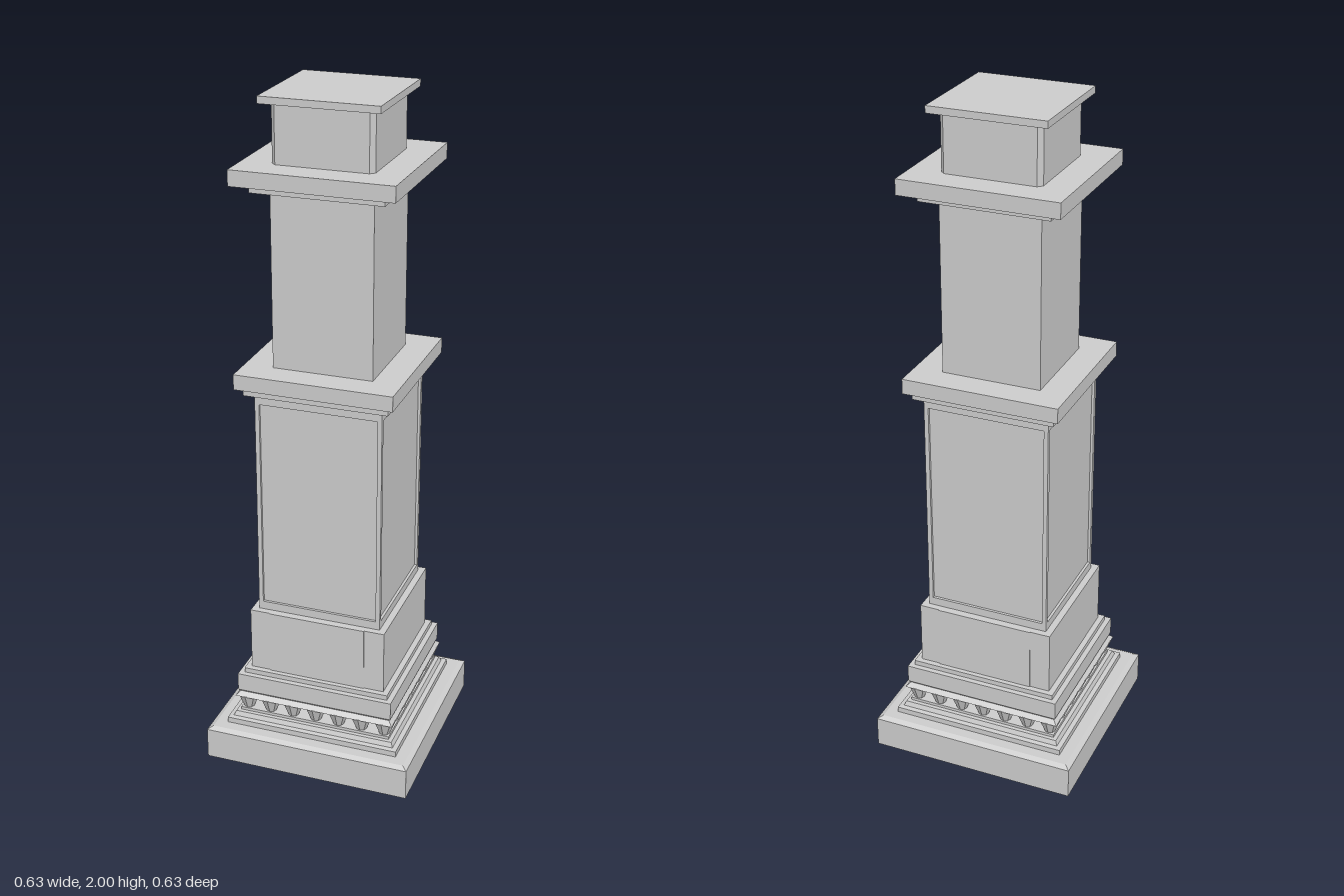
import * as THREE from 'three';

const material = new THREE.MeshStandardMaterial({
  color: 0xcccccc, flatShading: true, side: THREE.DoubleSide,
});

function add(parent, name, geometry) {
  const mesh = new THREE.Mesh(geometry, material);
  mesh.name = name;
  parent.add(mesh);
  return mesh;
}

// Square shell swept from a profile of [half width, height] pairs.
function squareShell(parent, name, profile) {
  const points = profile.map(([half, y]) => new THREE.Vector2(half * Math.SQRT2, y));
  const geometry = new THREE.LatheGeometry(points, 4).rotateY(Math.PI / 4).toNonIndexed();
  geometry.computeVertexNormals();
  return add(parent, name, geometry);
}

// Four copies of a part, one for each side.
function onFourSides(parent, build) {
  for (let i = 0; i < 4; i++) {
    const side = new THREE.Group();
    side.name = 'side' + (i + 1);
    side.rotation.y = i * Math.PI / 2;
    build(side);
    parent.add(side);
  }
}

function rectangle(ShapeType, half, bottom, top) {
  return new ShapeType([[-half, bottom], [half, bottom], [half, top], [-half, top]]
    .map(([x, y]) => new THREE.Vector2(x, y)));
}

export function createModel() {
  const column = new THREE.Group();
  column.name = 'column';

  // Hollow plinth, open below, with a stepped top
  squareShell(column, 'plinth', [
    [0.315, 0], [0.315, 0.095], [0.3, 0.103], [0.267, 0.103], [0.267, 0.12],
    [0.253, 0.122], [0.247, 0.136], [0.235, 0.136], [0.235, 0.145], [0.15, 0.145],
  ]);

  // Row of tapered pegs around the gap above the plinth
  const pegs = new THREE.Group();
  pegs.name = 'pegs';
  column.add(pegs);
  const spacing = 0.072;
  onFourSides(pegs, (side) => {
    for (let i = -3; i < 3; i++) {
      const peg = add(side, 'peg', new THREE.CylinderGeometry(0.034, 0.014, 0.05, 8));
      peg.position.set(i * spacing, 0.166, 3 * spacing);
    }
  });

  // Moulding carried by the pegs
  squareShell(column, 'baseMoulding', [
    [0.15, 0.19], [0.248, 0.19], [0.235, 0.203], [0.241, 0.21], [0.241, 0.265],
    [0.225, 0.265], [0.225, 0.28], [0.208, 0.28],
  ]);

  // Pedestal block with a slightly raised panel on front and back
  squareShell(column, 'pedestalBlock', [[0.208, 0.28], [0.208, 0.475], [0.18, 0.475]]);
  for (const sign of [-1, 1]) {
    const panel = add(column, 'pedestalPanel', new THREE.BoxGeometry(0.294, 0.195, 0.004));
    panel.position.set(0, 0.3775, sign * 0.209);
  }

  // Lower shaft with a frame around a recessed panel on each side
  squareShell(column, 'lowerShaft', [[0.18, 0.475], [0.18, 1.165]]);
  const frames = new THREE.Group();
  frames.name = 'panelFrames';
  column.add(frames);
  onFourSides(frames, (side) => {
    const shape = rectangle(THREE.Shape, 0.188, 0.475, 1.165);
    shape.holes.push(rectangle(THREE.Path, 0.175, 0.5, 1.135));
    const frame = add(side, 'panelFrame',
      new THREE.ExtrudeGeometry(shape, { depth: 0.009, bevelEnabled: false }));
    frame.position.z = 0.179;
  });

  // Lower cornice, upper shaft and upper cornice
  squareShell(column, 'lowerCornice', [
    [0.18, 1.16], [0.197, 1.16], [0.197, 1.167], [0.212, 1.167], [0.212, 1.19],
    [0.232, 1.19], [0.232, 1.235], [0.147, 1.235],
  ]);
  squareShell(column, 'upperShaft', [[0.147, 1.235], [0.147, 1.745]]);
  squareShell(column, 'upperCornice', [
    [0.147, 1.745], [0.19, 1.745], [0.19, 1.77],
    [0.232, 1.77], [0.232, 1.815], [0.135, 1.815],
  ]);

  // Neck with cut corners
  const h = 0.145, c = 0.132;
  const outline = new THREE.Shape([
    [c, -h], [h, -c], [h, c], [c, h], [-c, h], [-h, c], [-h, -c], [-c, -h],
  ].map(([x, y]) => new THREE.Vector2(x, y)));
  const neck = add(column, 'neck',
    new THREE.ExtrudeGeometry(outline, { depth: 0.17, bevelEnabled: false }));
  neck.rotation.x = -Math.PI / 2;
  neck.position.y = 1.813;

  // Flat cap
  const cap = add(column, 'cap', new THREE.BoxGeometry(0.34, 0.02, 0.34));
  cap.position.y = 1.99;

  return column;
}
